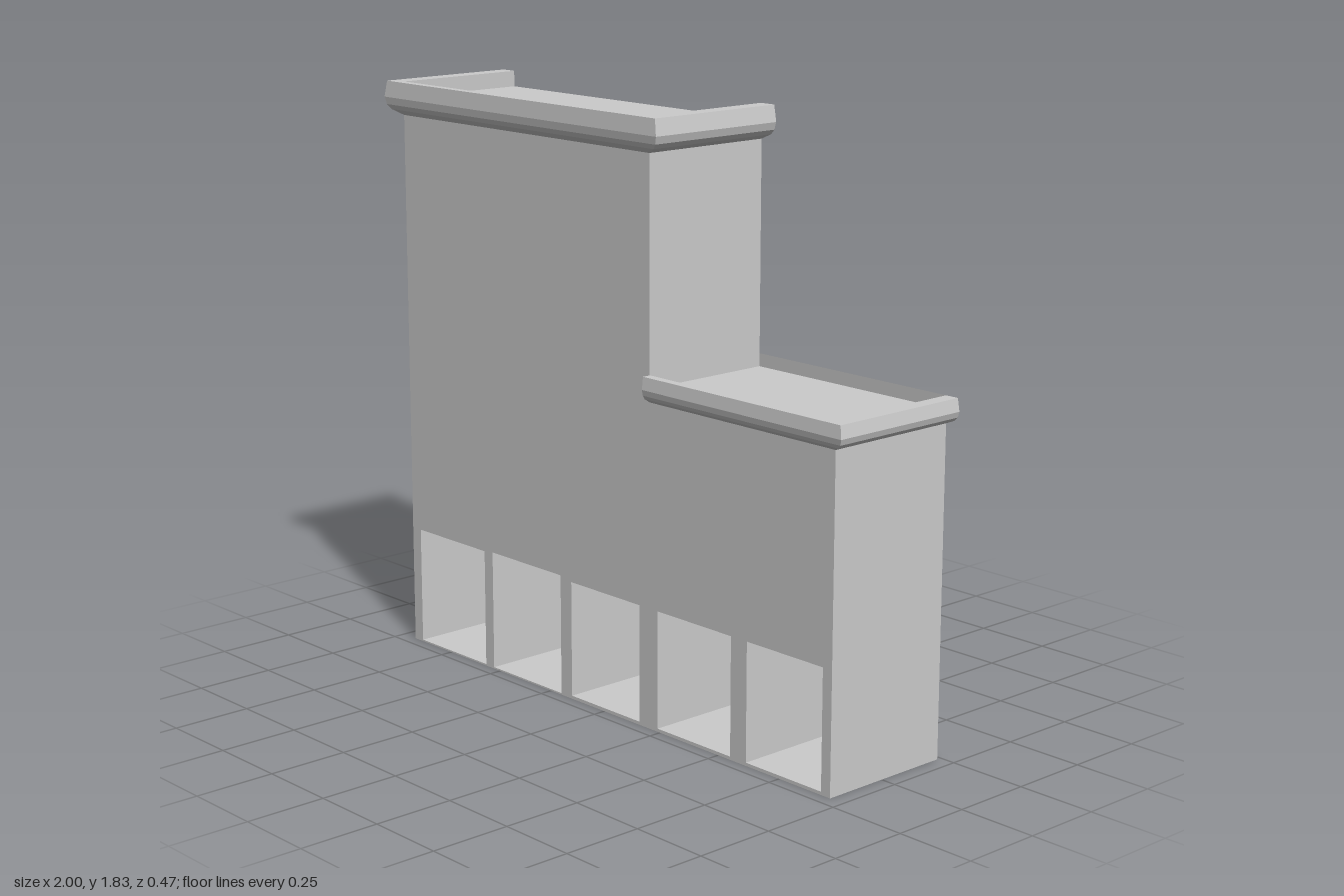
import * as THREE from 'three';

const FRONT = 0.21, BACK = -0.235, LEFT = -0.94, RIGHT = 0.95, STEP = 0.205;
const material = new THREE.MeshStandardMaterial({ color: 0xcccccc, flatShading: true });

function addMesh(parent, name, geometry) {
  const mesh = new THREE.Mesh(geometry, material);
  mesh.name = name;
  parent.add(mesh);
  return mesh;
}

// Cornice cross-section: [outward fraction, height fraction]
const PROFILE = [[0, 0], [0.65, 0.16], [0.88, 0.3], [1, 0.52], [0.85, 1], [-0.06, 1], [-0.06, 0.45]];

// Sweeps the cornice along stations [x, z, outward x, outward z] with mitred corners
function corniceGeometry(stations, base, height) {
  const rings = stations.map(([x, z, ox, oz]) =>
    PROFILE.map(([u, v]) => [x + u * ox, base + v * height, z + u * oz]));
  const n = PROFILE.length, pos = [];
  const tri = (a, b, c) => pos.push(...a, ...b, ...c);
  for (let i = 0; i < rings.length - 1; i++) {
    for (let j = 0; j < n; j++) {
      const k = (j + 1) % n, r = rings[i], s = rings[i + 1];
      tri(r[j], s[j], s[k]);
      tri(r[j], s[k], r[k]);
    }
  }
  const first = rings[0], last = rings[rings.length - 1];
  for (let j = 1; j < n - 1; j++) {
    tri(first[0], first[j], first[j + 1]);
    tri(last[0], last[j + 1], last[j]);
  }
  const geometry = new THREE.BufferGeometry();
  geometry.setAttribute('position', new THREE.Float32BufferAttribute(pos, 3));
  geometry.computeVertexNormals();
  return geometry;
}

export function createModel() {
  const model = new THREE.Group();
  model.name = 'steppedBuilding';

  // Stepped body with five openings: [x0, x1, y0, y1, recess depth]
  const openings = [
    [-0.9, -0.57, 0.005, 0.38, 0.35],
    [-0.53, -0.2, 0.005, 0.385, 0.41],
    [-0.15, 0.16, 0.01, 0.375, 0.4],
    [0.24, 0.55, 0.01, 0.375, 0.37],
    [0.615, 0.915, 0.01, 0.375, 0.37],
  ];
  const outline = new THREE.Shape([
    [LEFT, 0], [RIGHT, 0], [RIGHT, 1.04], [STEP, 1.04], [STEP, 1.78], [LEFT, 1.78],
  ].map(([x, y]) => new THREE.Vector2(x, y)));
  for (const [x0, x1, y0, y1] of openings) {
    outline.holes.push(new THREE.Path([
      [x0, y0], [x0, y1], [x1, y1], [x1, y0],
    ].map(([x, y]) => new THREE.Vector2(x, y))));
  }
  const body = addMesh(model, 'body',
    new THREE.ExtrudeGeometry(outline, { depth: FRONT - BACK, bevelEnabled: false }));
  body.position.z = BACK;

  // Back wall closing each recess
  openings.forEach(([x0, x1, y0, y1, depth], i) => {
    const thickness = FRONT - depth - BACK;
    const wall = addMesh(model, `recessBack${i + 1}`,
      new THREE.BoxGeometry(x1 - x0, y1 - y0, thickness));
    wall.position.set((x0 + x1) / 2, (y0 + y1) / 2, BACK + thickness / 2);
  });

  // Cornice around three sides of the tall part
  addMesh(model, 'upperCornice', corniceGeometry([
    [LEFT, BACK, -0.06, 0],
    [LEFT, FRONT, -0.06, 0.03],
    [STEP, FRONT, 0.06, 0.03],
    [STEP, BACK, 0.06, 0],
  ], 1.725, 0.105));

  // Cornice along the front and outer side of the low part
  addMesh(model, 'lowerCornice', corniceGeometry([
    [STEP, FRONT, 0, 0.03],
    [RIGHT, FRONT, 0.048, 0.03],
    [RIGHT, BACK, 0.048, 0],
  ], 1.0, 0.08));

  // Thin inner face at the back of the low roof
  const lip = addMesh(model, 'lowerRoofBackLip', new THREE.PlaneGeometry(RIGHT - STEP, 0.04));
  lip.position.set((STEP + RIGHT) / 2, 1.06, BACK);

  return model;
}
